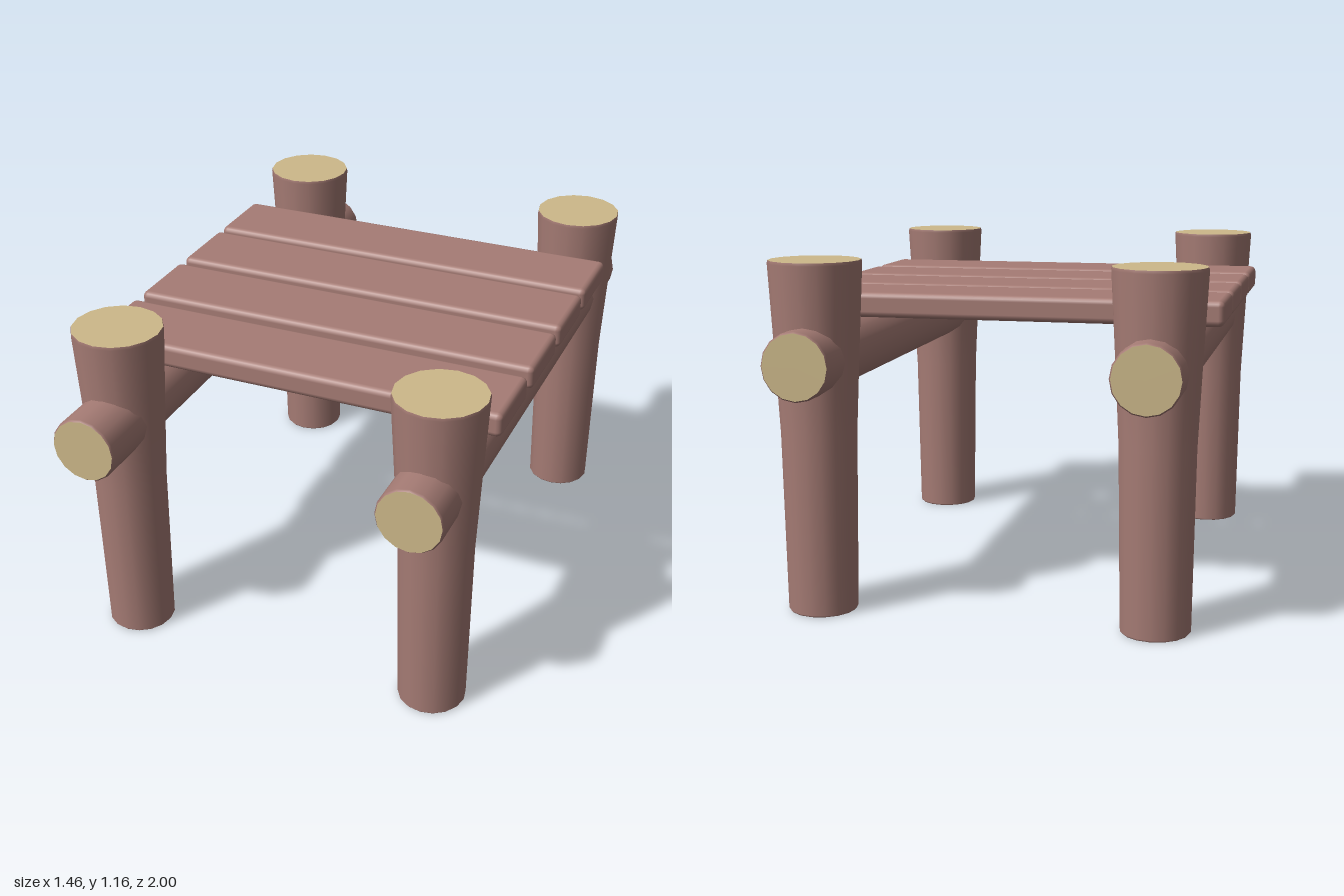
import * as THREE from 'three';
import { RoundedBoxGeometry } from 'three/addons/geometries/RoundedBoxGeometry.js';

const SIDES = 16;
const bark = new THREE.MeshStandardMaterial({ color: 0xa67c75 });
const cutWood = new THREE.MeshStandardMaterial({ color: 0xcdb98a });

// A round timber along y: profile is [radius, y] from bottom to top, with pale cut ends
function timber(name, profile) {
  const group = new THREE.Group();
  group.name = name;
  const points = profile.map(([r, y]) => new THREE.Vector2(r, y));
  const side = new THREE.Mesh(new THREE.LatheGeometry(points, SIDES), bark);
  side.name = name + 'Bark';
  group.add(side);
  [[points[0], Math.PI / 2, 'LowerEnd'], [points[points.length - 1], -Math.PI / 2, 'UpperEnd']].forEach(([p, turn, label]) => {
    const end = new THREE.Mesh(new THREE.CircleGeometry(p.x, SIDES), cutWood);
    end.name = name + label;
    end.rotation.x = turn;
    end.position.y = p.y;
    group.add(end);
  });
  return group;
}

export function createModel() {
  const model = new THREE.Group();
  model.name = 'logTable';

  // Four posts that widen towards the top
  const postProfile = [
    [0.11, 0], [0.115, 0.006], [0.124, 0.6], [0.136, 0.85], [0.152, 1.155], [0.15, 1.165],
  ];
  for (const [sideName, x] of [['right', -0.545], ['left', 0.573]]) {
    for (const [endName, z] of [['Front', 0.725], ['Back', -0.781]]) {
      const post = timber(sideName + endName + 'Post', postProfile);
      post.position.set(x, 0, z);
      model.add(post);
    }
  }

  // Two logs running front to back through the posts; the left one is shorter in front
  for (const [name, x, front] of [['rightLog', -0.538, 1], ['leftLog', 0.567, 0.965]]) {
    const log = timber(name, [[0.108, -1], [0.113, -0.993], [0.113, front - 0.007], [0.108, front]]);
    log.rotation.x = Math.PI / 2;
    log.position.set(x, 0.847, 0);
    model.add(log);
  }

  // Planks with softened edges across the logs
  [0.452, 0.126, -0.189, -0.496].forEach((z, i) => {
    const plank = new THREE.Mesh(new RoundedBoxGeometry(1.456, 0.084, 0.277, 2, 0.02), bark);
    plank.name = 'plank' + (i + 1);
    plank.position.set(-0.002, 1.003, z);
    model.add(plank);
  });

  return model;
}
